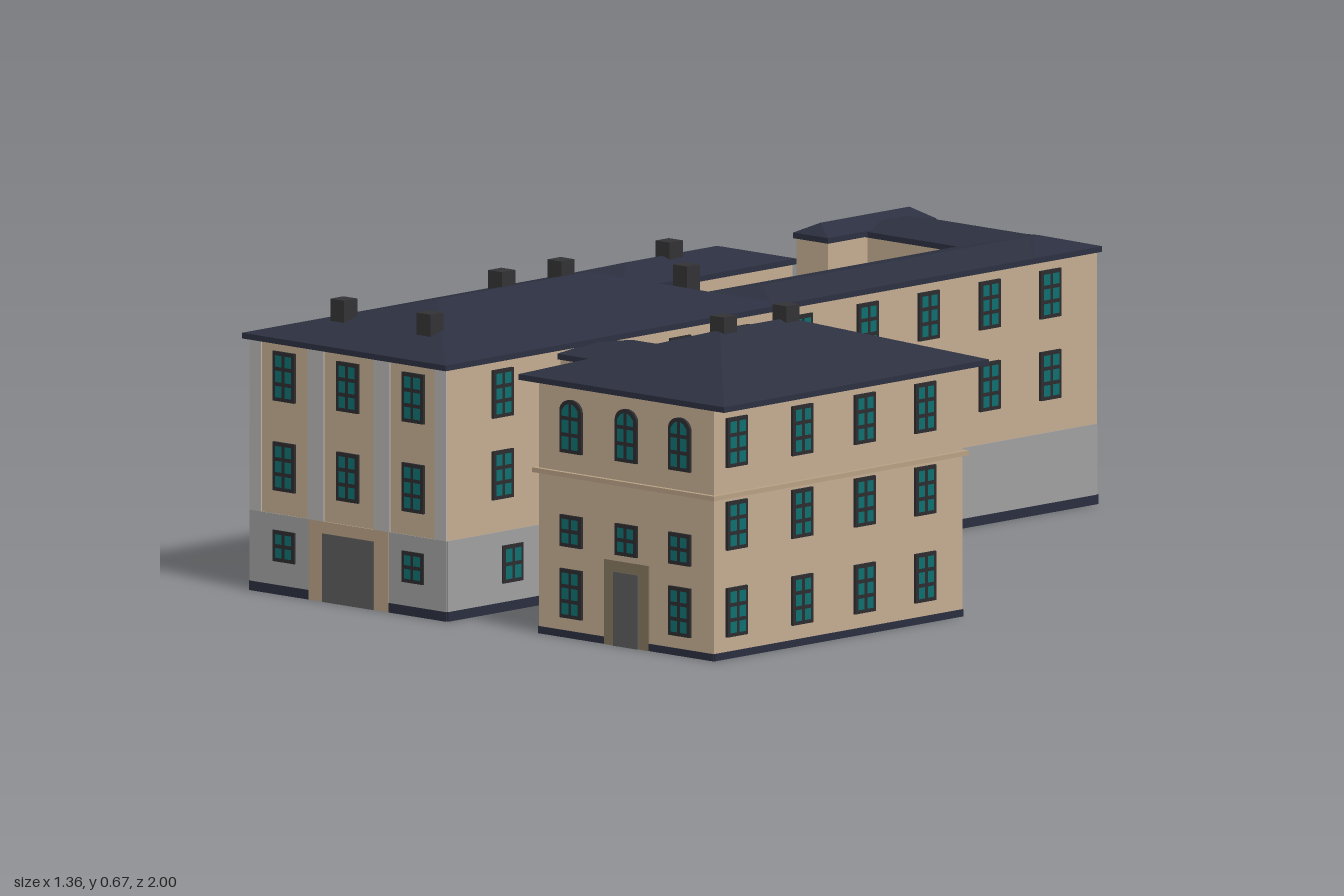
import * as THREE from 'three';
import { mergeGeometries } from 'three/addons/utils/BufferGeometryUtils.js';
import { ConvexGeometry } from 'three/addons/geometries/ConvexGeometry.js';

const mat = (color) => new THREE.MeshStandardMaterial({ color, flatShading: true });
const M = {
  wall: mat(0xc4ad92), trim: mat(0xb8a184), base: mat(0xa0a0a0), pilaster: mat(0xb9b6b3),
  roof: mat(0x2c3040), plinth: mat(0x2a2e3e), frame: mat(0x2c2c30), glass: mat(0x0f7070),
  door: mat(0x5c5c5c), surround: mat(0x84775f), chimney: mat(0x333335),
};

export function createModel() {
  const root = new THREE.Group();
  root.name = 'townhouseComplex';

  const add = (name, geo, material, parent = root) => {
    const m = new THREE.Mesh(geo, material);
    m.name = name;
    parent.add(m);
    return m;
  };

  // Box given by its limits on each axis
  const block = (name, x0, x1, y0, y1, z0, z1, material) =>
    add(name, new THREE.BoxGeometry(x1 - x0, y1 - y0, z1 - z0)
      .translate((x0 + x1) / 2, (y0 + y1) / 2, (z0 + z1) / 2), material);

  // Thin panel on a wall: face is the axis of the outward normal, a0..a1 runs along the wall
  const panel = (name, face, plane, a0, a1, y0, y1, depth, material) => {
    const out = face[0] === '+' ? plane + depth : plane - depth;
    const p0 = Math.min(plane, out), p1 = Math.max(plane, out);
    if (face[1] === 'x') block(name, p0, p1, y0, y1, a0, a1, material);
    else block(name, a0, a1, y0, y1, p0, p1, material);
  };

  // Hipped roof with a thin eave; the ridge follows the longer side
  const hipRoof = (name, x0, x1, z0, z1, eave, ridge, inset, thick = 0.012) => {
    const pts = [];
    for (const x of [x0, x1]) for (const z of [z0, z1])
      for (const y of [eave - thick, eave]) pts.push(new THREE.Vector3(x, y, z));
    const cx = (x0 + x1) / 2, cz = (z0 + z1) / 2;
    if (z1 - z0 > x1 - x0)
      pts.push(new THREE.Vector3(cx, ridge, z0 + inset), new THREE.Vector3(cx, ridge, z1 - inset));
    else
      pts.push(new THREE.Vector3(x0 + inset, ridge, cz), new THREE.Vector3(x1 - inset, ridge, cz));
    add(name, new ConvexGeometry(pts), M.roof);
  };

  // Window outline, optionally with a rounded top
  const outline = (w, h, arch) => {
    const s = new THREE.Shape();
    s.moveTo(-w / 2, -h / 2);
    s.lineTo(w / 2, -h / 2);
    s.lineTo(w / 2, h / 2 - arch);
    if (arch) s.absellipse(0, h / 2 - arch, w / 2, arch, 0, Math.PI, false);
    else s.lineTo(-w / 2, h / 2);
    s.closePath();
    return s;
  };

  // Window: dark frame with two columns of panes
  const turn = { '+z': 0, '+x': Math.PI / 2, '-z': Math.PI, '-x': -Math.PI / 2 };
  const windowAt = (face, plane, a, y0, y1, { w = 0.062, rows = 3, arch = 0 } = {}) => {
    const g = new THREE.Group(), h = y1 - y0, bar = 0.008;
    g.name = 'window';
    const frame = new THREE.ExtrudeGeometry(outline(w, h, arch),
      { depth: 0.006, bevelEnabled: false, curveSegments: 8 });
    add('windowFrame', frame, M.frame, g);
    const panes = [];
    const pw = (w - 3 * bar) / 2, ph = (h - (rows + 1) * bar) / rows;
    for (const side of [-1, 1]) for (let r = 0; r < rows; r++) {
      const x = side * (pw + bar) / 2, y = -h / 2 + bar + r * (ph + bar);
      const top = arch && r === rows - 1;
      const s = new THREE.Shape();
      const inner = x - side * pw / 2, outer = x + side * pw / 2;
      s.moveTo(inner, y);
      s.lineTo(outer, y);
      s.lineTo(outer, y + ph * (top ? 0.45 : 1));
      if (top) s.lineTo((inner + outer) / 2, y + ph * 0.84);
      s.lineTo(inner, y + ph);
      s.closePath();
      panes.push(new THREE.ShapeGeometry(s).translate(0, 0, 0.007));
    }
    add('windowPanes', mergeGeometries(panes), M.glass, g);
    g.rotation.y = turn[face];
    if (face[1] === 'x') g.position.set(plane, (y0 + y1) / 2, a);
    else g.position.set(a, (y0 + y1) / 2, plane);
    root.add(g);
  };
  const windowGrid = (face, plane, along, storeys, opts) => {
    for (const a of along) for (const [y0, y1] of storeys) windowAt(face, plane, a, y0, y1, opts);
  };

  const E = -0.105, W = -0.67, F = 0.985; // east, west and front planes of the long house

  // Walls
  block('mainWalls', W, E, 0, 0.537, -0.01, F, M.wall);
  block('eastWingWalls', -0.31, E, 0, 0.537, -0.99, 0, M.wall);
  block('westWingWalls', W, -0.465, 0, 0.537, -0.445, 0, M.wall);
  block('northWingWalls', W, E, 0, 0.537, -0.99, -0.795, M.wall);
  block('endBlockWalls', W, -0.58, 0, 0.537, -0.99, -0.675, M.wall);
  block('bridgeWalls', E, 0.13, 0.36, 0.52, 0.435, 0.64, M.wall);
  block('villaWalls', 0.13, 0.632, 0, 0.537, 0.2, 0.955, M.wall);

  // Roofs
  hipRoof('mainRoof', -0.68, -0.095, -0.03, 1, 0.545, 0.615, 0.285);
  hipRoof('eastWingRoof', -0.317, -0.1, -1, 0, 0.545, 0.566, 0.08);
  hipRoof('westWingRoof', -0.677, -0.46, -0.452, 0.08, 0.545, 0.575, 0.13);
  hipRoof('northWingRoof', -0.66, -0.1, -1, -0.79, 0.545, 0.566, 0.1);
  hipRoof('endBlockRoof', -0.675, -0.575, -1, -0.67, 0.547, 0.57, 0.03);
  hipRoof('bridgeRoof', -0.14, 0.16, 0.42, 0.65, 0.525, 0.537, 0.001);
  hipRoof('villaRoof', 0.09, 0.68, 0.17, 0.975, 0.546, 0.637, 0.3);

  // Chimneys: x, z, top
  for (const [x, z, top] of [[-0.515, 0.865, 0.62], [-0.268, 0.865, 0.62], [-0.515, 0.385, 0.62],
    [-0.515, 0.205, 0.62], [-0.282, 0.07, 0.62], [-0.568, -0.18, 0.605],
    [0.384, 0.473, 0.666], [0.384, 0.663, 0.666]])
    block('chimney', x - 0.02, x + 0.02, 0.53, top, z - 0.02, z + 0.02, M.chimney);

  // Grey ground storey and dark plinth of the long house
  for (const [face, plane, a0, a1] of [['+x', E, -0.99, F], ['-x', W, -0.01, F],
    ['-z', -0.99, -0.31, E], ['+z', F, W, -0.5], ['+z', F, -0.27, E]]) {
    panel('groundStorey', face, plane, a0, a1, 0.02, 0.17, 0.002, M.base);
    panel('plinth', face, plane, a0, a1, 0, 0.02, 0.004, M.plinth);
  }

  // Gate and pilasters on the long house front
  panel('gateSurround', '+z', F, -0.5, -0.27, 0, 0.17, 0.003, M.trim);
  panel('gate', '+z', F, -0.46, -0.312, 0, 0.145, 0.005, M.door);
  for (const [a0, a1] of [[W, -0.637], [-0.503, -0.457], [-0.313, -0.268], [-0.138, E]])
    panel('pilaster', '+z', F, a0, a1, 0.17, 0.535, 0.003, M.pilaster);

  // Long house windows
  const upper = [[0.413, 0.515], [0.24, 0.343]];
  windowGrid('+z', F, [-0.57, -0.387, -0.2], [[0.41, 0.515], [0.22, 0.323]]);
  windowGrid('+z', F, [-0.57, -0.2], [[0.07, 0.136]], { rows: 2 });
  windowGrid('+x', E, [0.82, 0.28, 0.1, -0.09, -0.29, -0.475, -0.66, -0.845], upper);
  windowAt('+x', E, 0.79, 0.06, 0.14, { rows: 2 });
  windowGrid('-x', W, [-0.12, 0.1, 0.32, 0.55, 0.78], upper);
  windowGrid('-z', -0.99, [-0.19, -0.39, -0.575], upper);

  // Villa: string course, plinth and door
  block('stringCourse', 0.12, 0.642, 0.341, 0.351, 0.19, 0.965, M.trim);
  for (const [a0, a1] of [[0.13, 0.32], [0.448, 0.632]])
    panel('villaPlinth', '+z', 0.955, a0, a1, 0, 0.015, 0.003, M.plinth);
  panel('villaPlinth', '+x', 0.632, 0.2, 0.955, 0, 0.015, 0.003, M.plinth);
  panel('villaPlinth', '-x', 0.13, 0.2, 0.955, 0, 0.015, 0.003, M.plinth);
  panel('villaPlinth', '-z', 0.2, 0.13, 0.632, 0, 0.015, 0.003, M.plinth);
  panel('doorSurround', '+z', 0.955, 0.32, 0.448, 0, 0.18, 0.004, M.surround);
  panel('door', '+z', 0.955, 0.349, 0.42, 0, 0.157, 0.007, M.door);

  // Villa windows
  const bays = [0.225, 0.384, 0.537];
  windowGrid('+z', 0.955, bays, [[0.392, 0.505]], { arch: 0.025 });
  windowGrid('+z', 0.955, bays, [[0.193, 0.26]], { rows: 2 });
  windowGrid('+z', 0.955, [bays[0], bays[2]], [[0.042, 0.146]]);
  const storeys = [[0.405, 0.51], [0.23, 0.333], [0.046, 0.15]];
  windowGrid('+x', 0.632, [0.888, 0.69, 0.5, 0.316], storeys);
  windowGrid('-z', 0.2, bays, storeys);

  return root;
}
